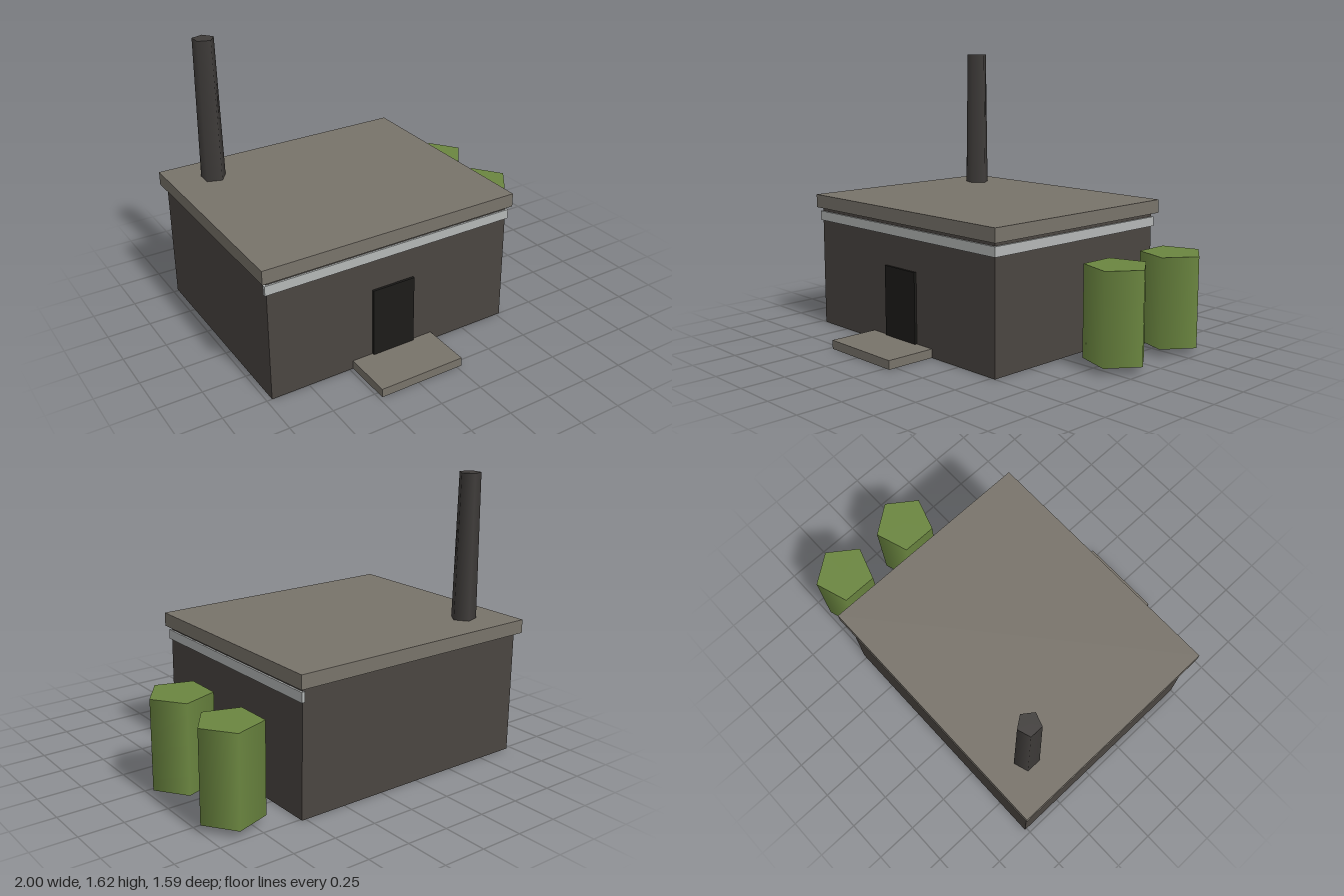
import * as THREE from 'three';

const mat = (color) => new THREE.MeshStandardMaterial({ color });

export function createModel() {
  const model = new THREE.Group();
  model.name = 'boilerHouse';

  const wallMat = mat(0x4a4541);
  const stoneMat = mat(0x78736a);
  const trimMat = mat(0xb4b7b6);
  const doorMat = mat(0x1c1b19);
  const chimneyMat = mat(0x3f3c3a);
  const tankMat = mat(0x6b8640);

  function add(name, geometry, material, x, y, z) {
    const mesh = new THREE.Mesh(geometry, material);
    mesh.name = name;
    mesh.position.set(x, y, z);
    model.add(mesh);
  }

  // Box given by its extents along each axis
  function box(name, material, [x0, x1], [y0, y1], [z0, z1]) {
    add(name, new THREE.BoxGeometry(x1 - x0, y1 - y0, z1 - z0), material,
      (x0 + x1) / 2, (y0 + y1) / 2, (z0 + z1) / 2);
  }

  // Five-sided, smooth-shaded column with one corner pointing to +x
  function column(name, material, rTop, rBottom, y0, y1, x, z) {
    add(name, new THREE.CylinderGeometry(rTop, rBottom, y1 - y0, 5, 1, false, Math.PI / 2),
      material, x, (y0 + y1) / 2, z);
  }

  // Building and overhanging flat roof
  box('walls', wallMat, [-0.97, 0.524], [0, 0.712], [-0.763, 0.5]);
  box('roof', stoneMat, [-1, 0.552], [0.712, 0.79], [-0.795, 0.525]);

  // Light trim along the front and the left side only
  box('frontTrim', trimMat, [-0.982, 0.535], [0.635, 0.69], [0.49, 0.51]);
  box('sideTrim', trimMat, [0.515, 0.535], [0.635, 0.69], [-0.773, 0.51]);

  // Entrance
  box('door', doorMat, [-0.355, -0.096], [0.05, 0.455], [0.49, 0.514]);
  box('doorstep', stoneMat, [-0.48, 0.03], [0, 0.05], [0.5, 0.793]);

  // Tapered chimney
  column('chimney', chimneyMat, 0.0625, 0.0737, 0.785, 1.617, -0.756, -0.57);

  // Storage tanks beside the building
  for (const z of [-0.57, -0.097]) {
    column('tank', tankMat, 0.177, 0.177, 0.042, 0.552, 0.823, z);
  }

  return model;
}
